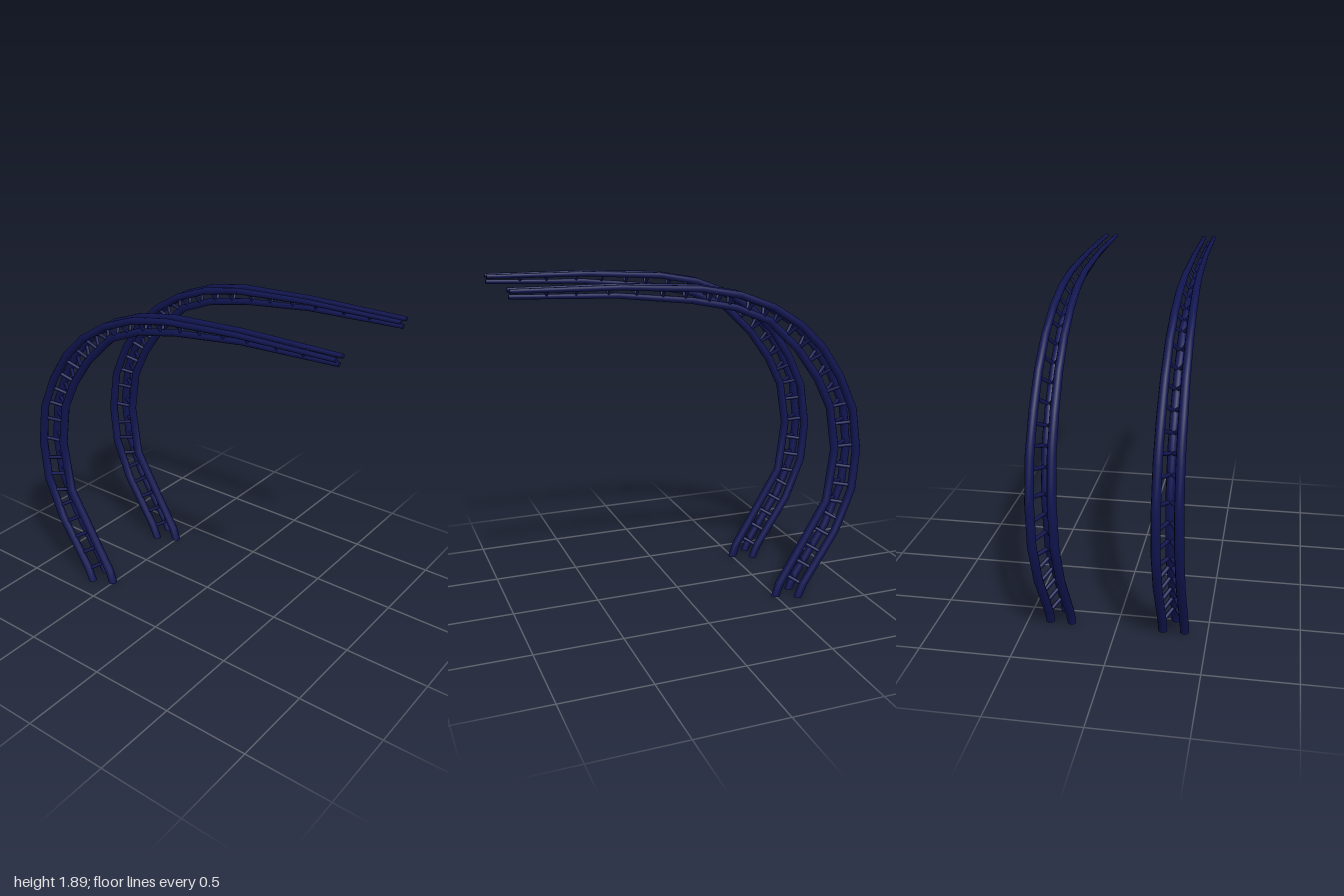
import * as THREE from 'three';

const V = (x, y, z) => new THREE.Vector3(x, y, z);
const SIDES = 10;

// Centre lines as [z, y, sideways offset, radius], from the foot to the front tip
const OUTER = [
  [-0.622, 0, 0.06, 0.025], [-0.655, 0.08, 0.06, 0.025], [-0.85, 0.385, 0.06, 0.025],
  [-0.948, 0.635, 0.059, 0.025], [-0.968, 0.872, 0.057, 0.025], [-0.932, 1.12, 0.055, 0.024],
  [-0.84, 1.317, 0.053, 0.024], [-0.725, 1.487, 0.051, 0.023], [-0.583, 1.625, 0.049, 0.022],
  [-0.416, 1.73, 0.046, 0.021], [-0.222, 1.804, 0.042, 0.02], [0, 1.846, 0.038, 0.018],
  [0.437, 1.873, 0.033, 0.015], [1, 1.88, 0.031, 0.012],
];
const INNER = [
  [-0.506, 0, 0, 0.026], [-0.53, 0.075, 0, 0.026], [-0.82, 0.56, 0, 0.026],
  [-0.858, 0.875, 0, 0.025], [-0.815, 1.13, 0, 0.024], [-0.727, 1.305, 0, 0.024],
  [-0.6, 1.477, 0, 0.023], [-0.417, 1.65, 0, 0.022], [-0.212, 1.733, 0, 0.02],
  [0.043, 1.784, 0, 0.018], [0.45, 1.829, 0, 0.015], [1, 1.849, 0, 0.012],
];

// Distances along the outer rails at which the struts sit
const STRUTS = [
  0.08, 0.19, 0.3, 0.41, 0.52, 0.63, 0.74, 0.85, 0.99, 1.13, 1.25, 1.365, 1.49, 1.6,
  1.72, 1.83, 1.94, 2.04, 2.14, 2.27, 2.39, 2.53, 2.655, 2.8, 2.95, 3.12, 3.27,
];

const railPoints = (rail, side) => rail.map(([z, y, x]) => V(x * side, y, z));

// Tapered round bar swept along mitred rings, with flat end caps
function railGeometry(rail, side) {
  const pts = railPoints(rail, side);
  const last = pts.length - 1;
  const pos = [], index = [];
  const addRing = (i) => {
    const r = rail[i][3];
    const a = pts[i].clone().sub(pts[Math.max(i - 1, 0)]).normalize();
    const b = pts[Math.min(i + 1, last)].clone().sub(pts[i]).normalize();
    const t = a.add(b).normalize();
    if (i === 0) t.set(0, 1, 0); // foot is cut level with the ground
    if (i === last) t.set(0, 0, 1); // tip is cut square to the front
    const u = V(1, 0, 0).addScaledVector(t, -t.x).normalize();
    const w = t.clone().cross(u);
    for (let k = 0; k < SIDES; k++) {
      const ang = (k / SIDES) * Math.PI * 2;
      const p = pts[i].clone().addScaledVector(u, r * Math.cos(ang)).addScaledVector(w, r * Math.sin(ang));
      pos.push(p.x, p.y, p.z);
    }
  };
  for (let i = 0; i <= last; i++) addRing(i);
  for (let i = 0; i < last; i++) {
    for (let k = 0; k < SIDES; k++) {
      const a = i * SIDES + k, b = i * SIDES + (k + 1) % SIDES;
      index.push(a, b, b + SIDES, a, b + SIDES, a + SIDES);
    }
  }
  // Caps use their own rings so that their edges stay sharp
  const foot = pos.length / 3;
  addRing(0);
  const tip = pos.length / 3;
  addRing(last);
  for (let k = 1; k < SIDES - 1; k++) {
    index.push(foot, foot + k + 1, foot + k, tip, tip + k, tip + k + 1);
  }
  const geo = new THREE.BufferGeometry();
  geo.setAttribute('position', new THREE.Float32BufferAttribute(pos, 3));
  geo.setIndex(index);
  geo.computeVertexNormals();
  return geo;
}

// Point and bar radius at a distance along a rail
function pointAlong(rail, side, distance) {
  const pts = railPoints(rail, side);
  let i = 0;
  while (i < pts.length - 2 && distance > pts[i].distanceTo(pts[i + 1])) {
    distance -= pts[i].distanceTo(pts[i + 1]);
    i++;
  }
  const f = distance / pts[i].distanceTo(pts[i + 1]);
  return { point: pts[i].clone().lerp(pts[i + 1], f), radius: THREE.MathUtils.lerp(rail[i][3], rail[i + 1][3], f) };
}

// Closest point on a rail's centre line
function nearestOn(rail, target) {
  const pts = railPoints(rail, 1);
  let best = pts[0];
  for (let i = 0; i < pts.length - 1; i++) {
    const p = new THREE.Line3(pts[i], pts[i + 1]).closestPointToPoint(target, true, V(0, 0, 0));
    if (p.distanceTo(target) < best.distanceTo(target)) best = p;
  }
  return best;
}

function strut(from, to, radius, material) {
  const dir = to.clone().sub(from);
  const mesh = new THREE.Mesh(new THREE.CylinderGeometry(radius, radius, dir.length(), 8), material);
  mesh.position.copy(from).lerp(to, 0.5);
  mesh.quaternion.setFromUnitVectors(V(0, 1, 0), dir.normalize());
  mesh.name = 'strut';
  return mesh;
}

// One curved truss: two outer rails, one inner rail and V-shaped pairs of struts
function trussArch(name, material) {
  const arch = new THREE.Group();
  arch.name = name;
  const addRail = (railName, rail, side) => {
    const mesh = new THREE.Mesh(railGeometry(rail, side), material);
    mesh.name = railName;
    arch.add(mesh);
  };
  addRail('innerRail', INNER, 1);
  addRail('leftOuterRail', OUTER, 1);
  addRail('rightOuterRail', OUTER, -1);

  const struts = new THREE.Group();
  struts.name = 'struts';
  for (const s of STRUTS) {
    for (const side of [-1, 1]) {
      const { point, radius } = pointAlong(OUTER, side, s);
      struts.add(strut(point, nearestOn(INNER, point), Math.max(0.007, radius * 0.45), material));
    }
  }
  arch.add(struts);
  return arch;
}

export function createModel() {
  const model = new THREE.Group();
  model.name = 'trussArches';
  const navy = new THREE.MeshStandardMaterial({ color: 0x10154f });
  for (const side of [-1, 1]) {
    const arch = trussArch(side > 0 ? 'leftArch' : 'rightArch', navy);
    arch.position.x = side * 0.315;
    model.add(arch);
  }
  return model;
}
